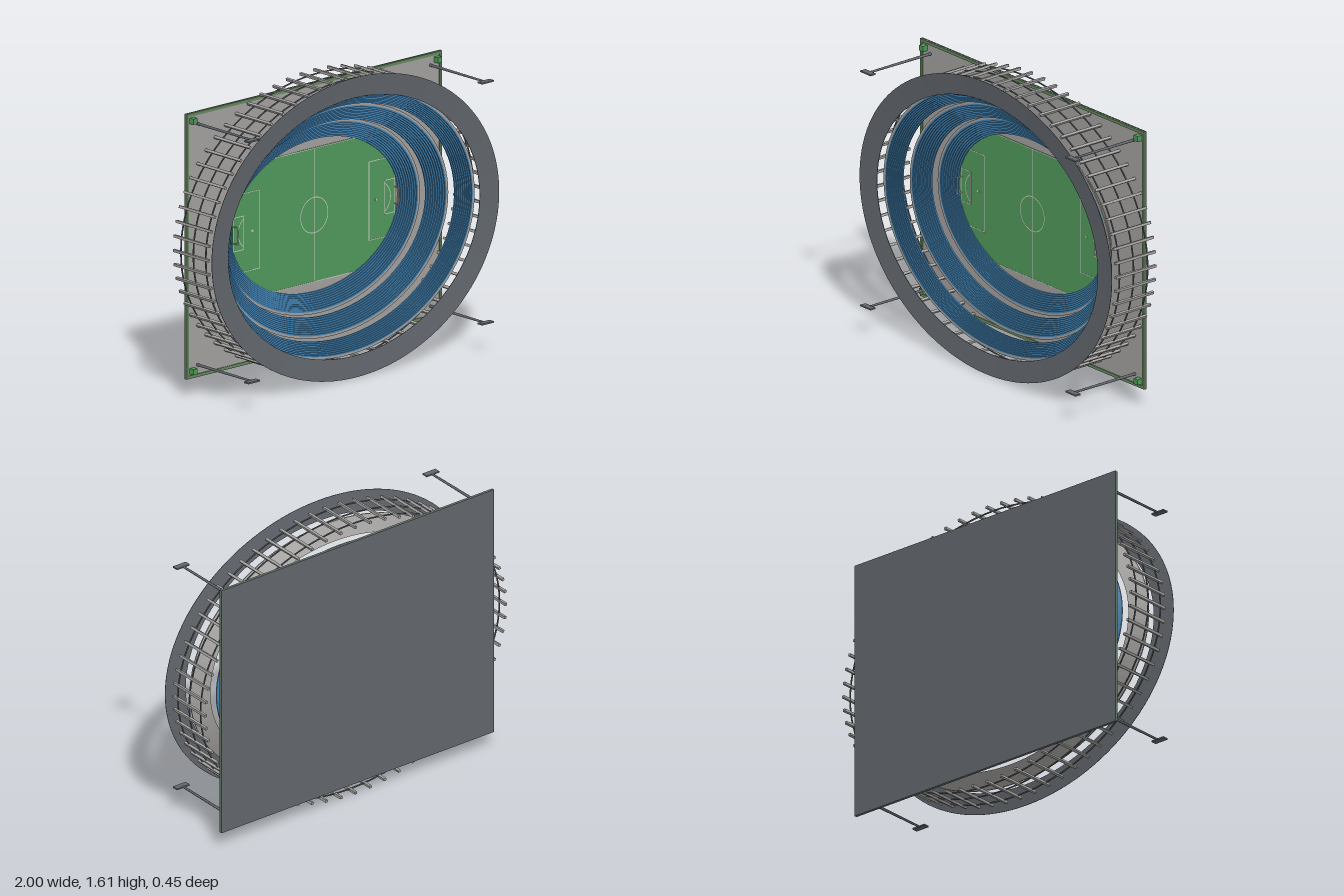
import * as THREE from 'three';

const mat = (name, color, extra = {}) => {
  const m = new THREE.MeshStandardMaterial({ color, ...extra });
  m.name = name;
  return m;
};

export function createModel() {
  const concrete = mat('concrete grey', 0xa3a2a0);
  const steel = mat('dark steel', 0x62676d);
  const seatBlue = mat('seat blue', 0x3f80b0);
  const grass = mat('pitch green', 0x519a5c);
  const hedge = mat('hedge green', 0x66885f);
  const chalk = mat('line white', 0xcfcfc8);

  const root = new THREE.Group();
  root.name = 'stadium';
  const arena = new THREE.Group();
  arena.name = 'arena';
  arena.position.y = 0.803;
  root.add(arena);

  const add = (name, geo, material, x = 0, y = 0, z = 0, parent = arena) => {
    const m = new THREE.Mesh(geo, material);
    m.name = name;
    m.position.set(x, y, z);
    parent.add(m);
    return m;
  };
  const box = (name, w, h, d, material, x, y, z, parent) =>
    add(name, new THREE.BoxGeometry(w, h, d), material, x, y, z, parent);

  // Sweeps a profile of [xRadius, yRadius, z] points around an ellipse, with hard edges between bands
  const sweep = (profile, n = 96) => {
    const pos = [];
    const at = ([a, b, z], j) => {
      const t = (j % n) / n * Math.PI * 2;
      return [a * Math.cos(t), b * Math.sin(t), z];
    };
    for (let i = 0; i + 1 < profile.length; i++) {
      for (let j = 0; j < n; j++) {
        const p = at(profile[i], j), q = at(profile[i + 1], j);
        const r = at(profile[i + 1], j + 1), s = at(profile[i], j + 1);
        pos.push(...p, ...q, ...r, ...p, ...r, ...s);
      }
    }
    const g = new THREE.BufferGeometry();
    g.setAttribute('position', new THREE.Float32BufferAttribute(pos, 3));
    g.computeVertexNormals();
    return g;
  };

  // Ground slab with paving, hedge border and corner planters
  box('groundSlab', 1.775, 1.42, 0.009, steel, 0, 0, -0.2205);
  box('paving', 1.75, 1.39, 0.003, concrete, 0, 0, -0.2145);
  for (const s of [-1, 1]) {
    box('hedgeLong', 1.775, 0.016, 0.008, hedge, 0, s * 0.701, -0.212);
    box('hedgeShort', 0.016, 1.386, 0.008, hedge, s * 0.8795, 0, -0.212);
    for (const t of [-1, 1]) box('planter', 0.03, 0.03, 0.03, grass, s * 0.85, t * 0.67, -0.198);
  }

  // Pitch: a rectangle trimmed by the ellipse of the stands
  const hw = 0.568, hh = 0.36, outline = [];
  for (let i = 0; i < 96; i++) {
    const t = i / 96 * Math.PI * 2;
    outline.push(new THREE.Vector2(
      THREE.MathUtils.clamp(0.59 * Math.cos(t), -hw, hw),
      THREE.MathUtils.clamp(0.42 * Math.sin(t), -hh, hh)));
  }
  add('pitch', new THREE.ExtrudeGeometry(new THREE.Shape(outline), { depth: 0.003, bevelEnabled: false }),
    grass, 0, 0, -0.213);

  // Pitch markings
  const lines = new THREE.Group();
  lines.name = 'pitchMarkings';
  arena.add(lines);
  const zl = -0.2095, lw = 0.004;
  const line = (w, h, x, y) => box('line', w, h, 0.001, chalk, x, y, zl, lines);
  const arc = (r, x, start, len) =>
    add('arc', new THREE.RingGeometry(r - lw / 2, r + lw / 2, 48, 1, start, len), chalk, x, 0, zl, lines);
  line(lw * 0.6, hh * 2, 0, 0);
  arc(0.095, 0, 0, Math.PI * 2);
  for (const s of [-1, 1]) {
    line(0.62, lw, 0, s * (hh - 0.003));
    line(lw, 0.42, s * 0.38, 0);
    line(lw, 0.42, s * 0.56, 0);
    line(lw, 0.18, s * 0.49, 0);
    line(0.012, 0.012, s * 0.43, 0);
    for (const t of [-1, 1]) {
      line(0.18, lw, s * 0.47, t * 0.21);
      line(0.07, lw, s * 0.525, t * 0.09);
      box('goalPost', 0.005, 0.005, 0.03, chalk, s * 0.56, t * 0.045, -0.195);
    }
    arc(0.09, s * 0.44, s > 0 ? -0.95 : Math.PI - 0.95, 1.9);
    box('goalBar', 0.005, 0.095, 0.005, chalk, s * 0.56, 0, -0.18);
  }

  // Three seating tiers: stepped rows, a concrete walkway rim and a sloping underside
  const tiers = [
    { a0: 0.58, a1: 0.675, b0: 0.408, b1: 0.497, z0: -0.21, z1: -0.157, under: concrete },
    { a0: 0.695, a1: 0.785, b0: 0.515, b1: 0.6, z0: -0.125, z1: -0.062, under: seatBlue },
    { a0: 0.808, a1: 0.885, b0: 0.62, b1: 0.69, z0: -0.028, z1: 0.03, under: concrete },
  ];
  tiers.forEach(({ a0, a1, b0, b1, z0, z1, under }, k) => {
    const rows = 9, steps = [];
    for (let i = 0; i < rows; i++) {
      const u = i / rows, v = (i + 1) / rows;
      const zt = z0 + (z1 - z0) * v;
      const a = a0 + (a1 - a0) * u, b = b0 + (b1 - b0) * u;
      if (i === 0) steps.push([a, b, z0]);
      steps.push([a, b, zt], [a0 + (a1 - a0) * v, b0 + (b1 - b0) * v, zt]);
    }
    const rim = 0.013;
    add('seatRows' + (k + 1), sweep(steps), seatBlue);
    add('tierRim' + (k + 1), sweep([[a1, b1, z1], [a1 + rim, b1 + rim, z1], [a1 + rim, b1 + rim, z1 - 0.006]]), concrete);
    add('tierUnderside' + (k + 1), sweep([[a1 + rim, b1 + rim, z1 - 0.006], [a0, b0, z0 - 0.002], [a0, b0, z0]]), under);
  });

  // Roof ring, slightly dished
  add('roof', sweep([
    [0.875, 0.69, 0.091], [0.875, 0.69, 0.094], [1, 0.803, 0.105],
    [1, 0.803, 0.103], [0.875, 0.69, 0.091]], 128), steel);

  // Facade ribs and hoops
  const ribs = new THREE.Group();
  ribs.name = 'facadeRibs';
  arena.add(ribs);
  const ribGeo = new THREE.BoxGeometry(0.014, 0.014, 0.27);
  for (let i = 0; i < 64; i++) {
    const t = i / 64 * Math.PI * 2;
    add('rib', ribGeo, concrete, 0.977 * Math.cos(t), 0.778 * Math.sin(t), -0.075, ribs).rotation.z = t;
  }
  for (const z of [0.03, -0.065, -0.16]) {
    const a = 0.97, b = 0.771, w = 0.006, h = 0.003;
    add('facadeHoop', sweep([[a, b, z - h], [a, b, z + h], [a + w, b + w, z + h], [a + w, b + w, z - h], [a, b, z - h]]), steel);
  }

  // Floodlight masts
  for (const s of [-1, 1]) for (const t of [-1, 1]) {
    const mast = add('floodlightPole', new THREE.CylinderGeometry(0.006, 0.008, 0.41, 8), steel, s * 0.81, t * 0.645, -0.008);
    mast.rotation.x = Math.PI / 2;
    box('floodlightHead', 0.082, 0.008, 0.034, steel, s * 0.813, t * 0.645, 0.208);
  }
  return root;
}
